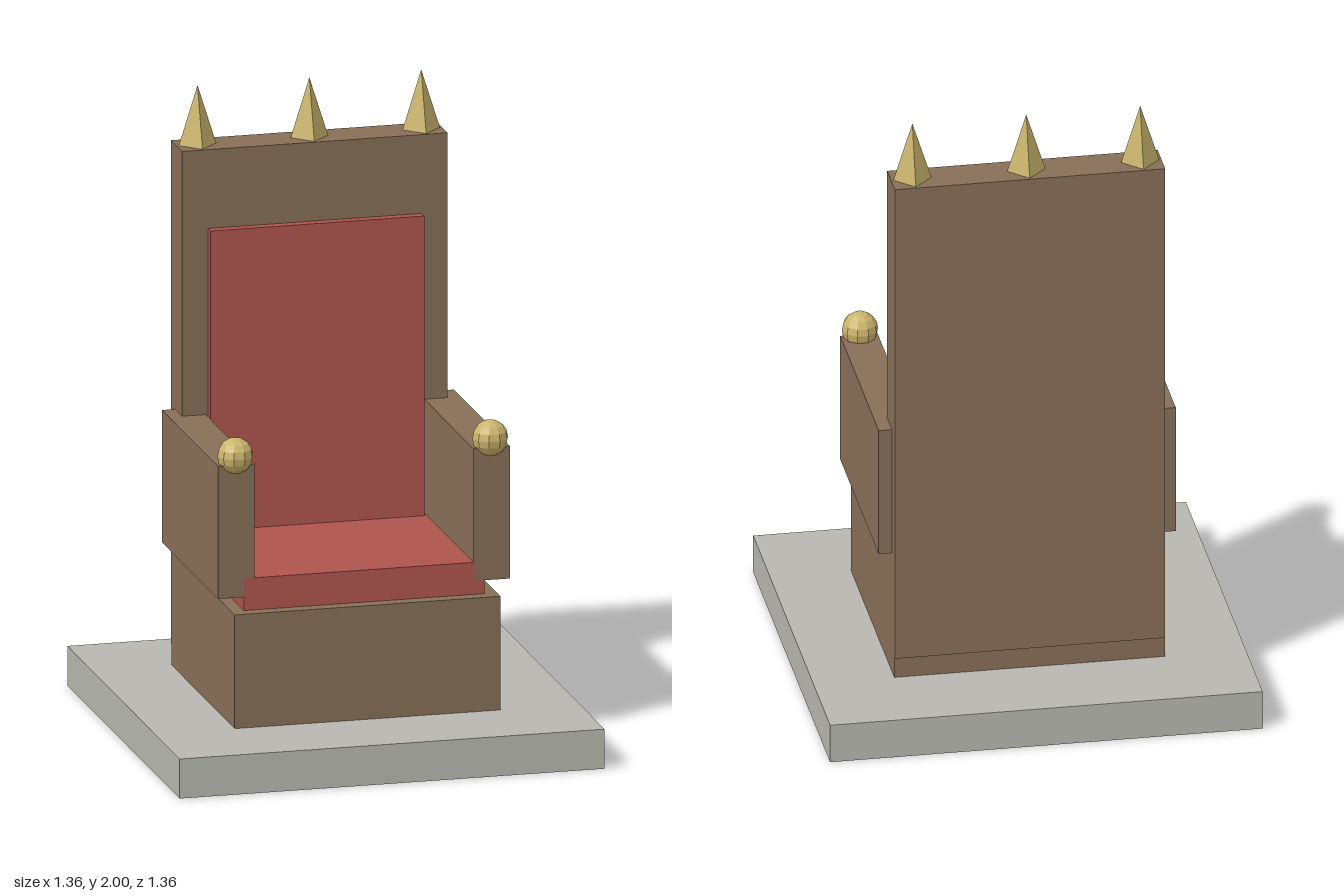
import * as THREE from 'three';

const material = (name, color) => {
  const m = new THREE.MeshStandardMaterial({ color });
  m.name = name;
  return m;
};

export function createModel() {
  const model = new THREE.Group();
  model.name = 'throne';

  const stone = material('stone', 0xb8b7b0);
  const wood = material('wood', 0x876f57);
  const fabric = material('red fabric', 0xae544c);
  const gold = material('gold', 0xcbb56c);

  const add = (name, geometry, mat, x, y, z) => {
    const mesh = new THREE.Mesh(geometry, mat);
    mesh.name = name;
    mesh.position.set(x, y, z);
    model.add(mesh);
    return mesh;
  };

  // Box given by its lower and upper limits on each axis
  const box = (name, mat, [x0, x1], [y0, y1], [z0, z1]) =>
    add(name, new THREE.BoxGeometry(x1 - x0, y1 - y0, z1 - z0), mat,
      (x0 + x1) / 2, (y0 + y1) / 2, (z0 + z1) / 2);

  // Faceted copy of a geometry
  const faceted = (geometry) => {
    const flat = geometry.toNonIndexed();
    flat.computeVertexNormals();
    return flat;
  };

  // Plinth, seat block and upholstery
  box('plinth', stone, [-0.68, 0.68], [0, 0.127], [-0.68, 0.68]);
  box('seatBlock', wood, [-0.425, 0.425], [0.127, 0.492], [-0.382, 0.382]);
  box('seatCushion', fabric, [-0.385, 0.385], [0.492, 0.595], [-0.34, 0.34]);
  box('backrest', wood, [-0.425, 0.425], [0.195, 1.81], [-0.39, -0.255]);
  box('backCushion', fabric, [-0.342, 0.342], [0.55, 1.557], [-0.27, -0.224]);

  // Armrests with ball finials
  const ball = faceted(new THREE.SphereGeometry(0.057, 10, 8));
  for (const [side, s] of [['left', 1], ['right', -1]]) {
    const arm = box(side + 'Armrest', wood, [0.35, 0.467], [0.535, 0.96], [-0.34, 0.34]);
    arm.position.x *= s;
    add(side + 'ArmFinial', ball, gold, s * 0.408, 0.987, 0.323);
  }

  // Crown spikes along the top of the backrest
  const spike = faceted(new THREE.ConeGeometry(0.06, 0.19, 4));
  ['right', 'middle', 'left'].forEach((side, i) =>
    add(side + 'Spike', spike, gold, (i - 1) * 0.358, 1.905, -0.323));

  return model;
}
